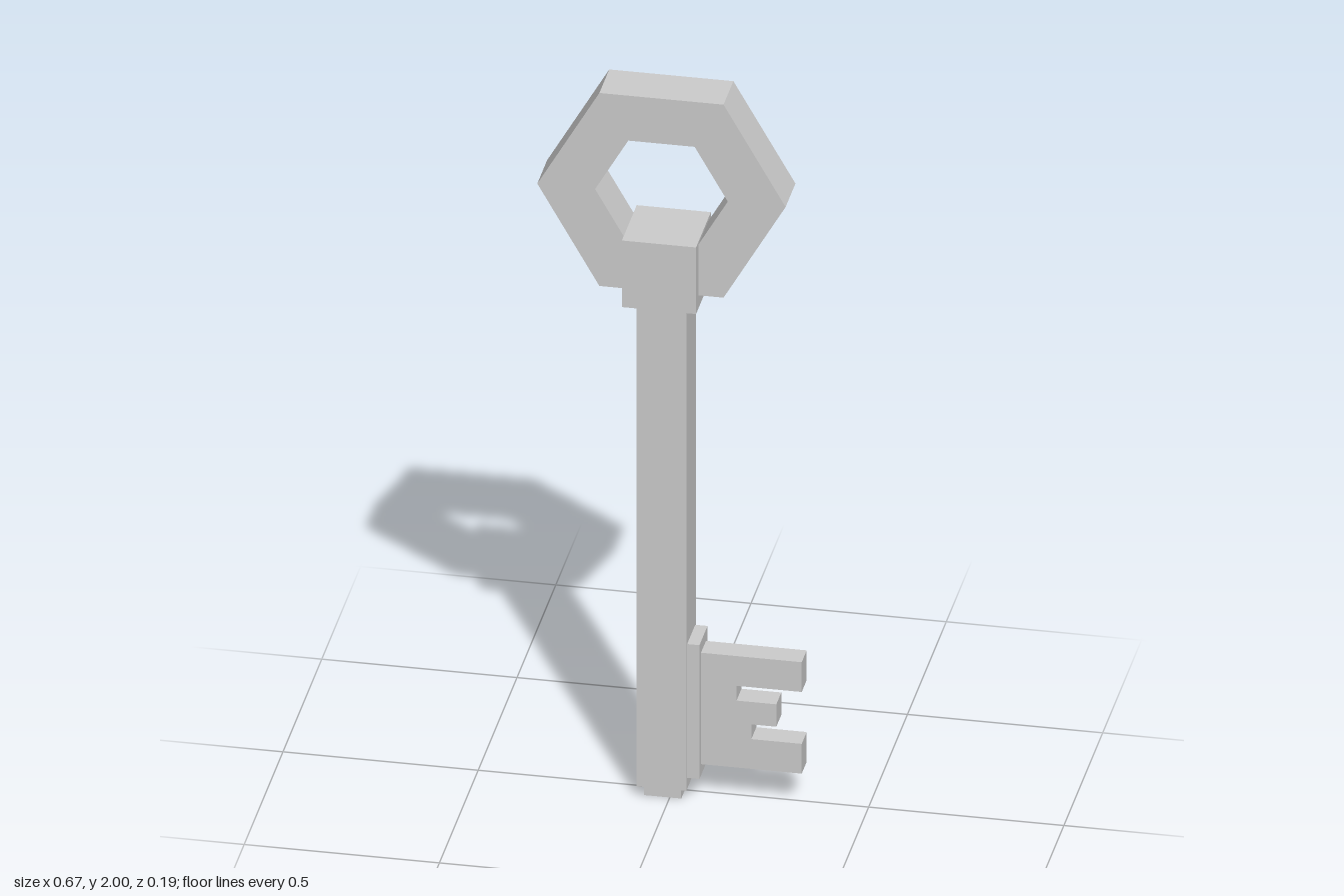
import * as THREE from 'three';

const AXIS = -0.018; // x of the shaft's centre line

export function createModel() {
  const key = new THREE.Group();
  key.name = 'key';
  const material = new THREE.MeshStandardMaterial({ color: 0xcccccc, flatShading: true });

  const add = (name, geometry) => {
    const mesh = new THREE.Mesh(geometry, material);
    mesh.name = name;
    key.add(mesh);
    return mesh;
  };

  // Box given by its limits in x and y and its depth, centred on z = 0
  const box = (name, x0, x1, y0, y1, depth) =>
    add(name, new THREE.BoxGeometry(x1 - x0, y1 - y0, depth))
      .position.set((x0 + x1) / 2, (y0 + y1) / 2, 0);

  // Box centred on the shaft's axis
  const axial = (name, width, y0, y1, depth) =>
    box(name, AXIS - width / 2, AXIS + width / 2, y0, y1, depth);

  // Flat outline extruded evenly about z = 0
  const plate = (name, shape, depth) =>
    add(name, new THREE.ExtrudeGeometry(shape, { depth, bevelEnabled: false })
      .translate(0, 0, -depth / 2));

  const hexagon = (radius) => Array.from({ length: 6 }, (_, i) => {
    const a = i * Math.PI / 3;
    return new THREE.Vector2(AXIS + radius * Math.cos(a), 1.725 + radius * Math.sin(a));
  });

  // Hexagonal ring handle
  const ring = new THREE.Shape(hexagon(0.318));
  ring.holes.push(new THREE.Path(hexagon(0.17).reverse()));
  plate('handle', ring, 0.127);

  // Collar, square shaft and stepped tip
  axial('collar', 0.19, 1.413, 1.603, 0.191);
  axial('shaft', 0.127, 0.032, 1.413, 0.127);
  axial('tip', 0.095, 0, 0.032, 0.095);

  // Backing plate on the shaft's side
  box('bitPlate', 0.045, 0.077, 0.063, 0.445, 0.104);

  // Toothed bit with two notches of different depth
  const bit = new THREE.Shape([
    [0.077, 0.095], [0.335, 0.095], [0.335, 0.18], [0.206, 0.18],
    [0.206, 0.222], [0.27, 0.222], [0.27, 0.286], [0.168, 0.286],
    [0.168, 0.328], [0.335, 0.328], [0.335, 0.413], [0.077, 0.413],
  ].map(([x, y]) => new THREE.Vector2(x, y)));
  plate('bit', bit, 0.064);

  return key;
}
